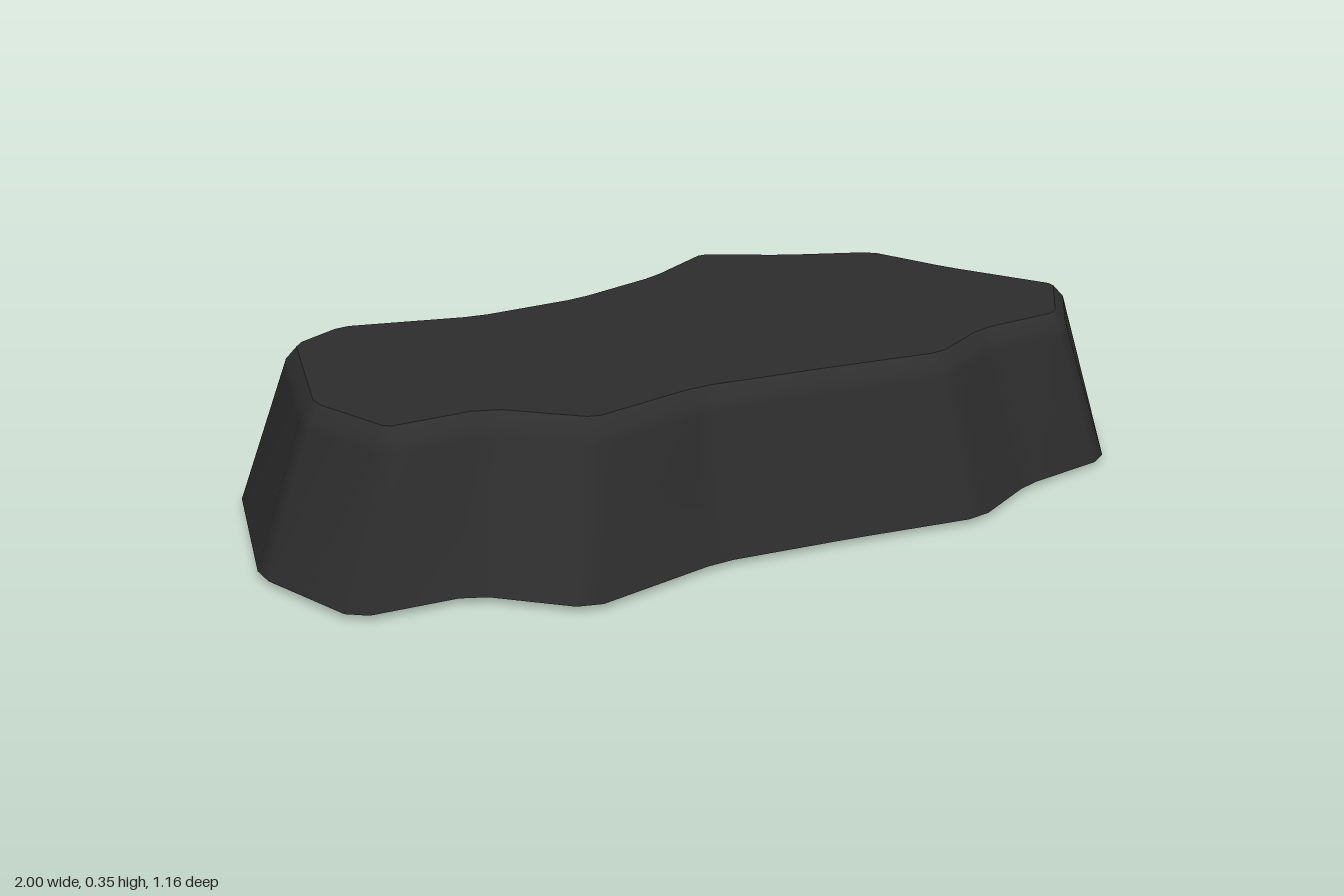
import * as THREE from 'three';

const BASE_Y = 0.012, EDGE_Y = 0.325, TOP_Y = 0.35;

// Outline corners, counterclockwise from above: base x, base z, upper edge x, upper edge z
const CORNERS = [
  [-0.745, -0.41, -0.67, -0.325],
  [-0.91, -0.29, -0.81, -0.24],
  [-1.005, 0.16, -0.895, 0.15],
  [-0.9, 0.43, -0.805, 0.365],
  [-0.66, 0.43, -0.59, 0.35],
  [-0.48, 0.585, -0.42, 0.49],
  [-0.16, 0.495, -0.155, 0.415],
  [0.14, 0.505, 0.14, 0.425],
  [0.44, 0.525, 0.4, 0.44],
  [0.63, 0.41, 0.56, 0.34],
  [0.87, 0.355, 0.78, 0.31],
  [1.02, 0.1, 0.915, 0.105],
  [0.85, -0.145, 0.765, -0.13],
  [0.74, -0.37, 0.67, -0.325],
  [0.51, -0.47, 0.46, -0.4],
  [0.293, -0.595, 0.28, -0.495],
  [0.12, -0.47, 0.09, -0.37],
  [-0.13, -0.365, -0.13, -0.29],
  [-0.4, -0.31, -0.375, -0.265],
];

// Cut every corner into two points so the outline turns softly
function softenedRing(points, cut) {
  const n = points.length;
  return points.flatMap((p, i) => [points[(i + n - 1) % n], points[(i + 1) % n]]
    .map((q) => p.clone().add(q.clone().sub(p).setLength(cut))));
}

// Move a ring inward along its averaged edge normals
function insetRing(ring, amount) {
  const n = ring.length;
  return ring.map((p, i) => {
    const t = ring[(i + 1) % n].clone().sub(ring[(i + n - 1) % n]).normalize();
    return new THREE.Vector2(p.x + t.y * amount, p.y - t.x * amount);
  });
}

// Join rings of equal length into a smooth band
function bandGeometry(rings) {
  const n = rings[0].length, positions = [], index = [];
  rings.forEach((ring) => ring.forEach((p) => positions.push(p.x, p.y, p.z)));
  for (let r = 0; r < rings.length - 1; r++) {
    for (let i = 0; i < n; i++) {
      const a = r * n + i, b = r * n + (i + 1) % n;
      index.push(a, b, b + n, a, b + n, a + n);
    }
  }
  const geometry = new THREE.BufferGeometry();
  geometry.setAttribute('position', new THREE.Float32BufferAttribute(positions, 3));
  geometry.setIndex(index);
  geometry.computeVertexNormals();
  return geometry;
}

export function createModel() {
  const group = new THREE.Group();
  group.name = 'rockSlab';
  const stone = new THREE.MeshStandardMaterial({ color: 0x2e2e2e, side: THREE.DoubleSide });
  stone.name = 'dark stone';

  const base = softenedRing(CORNERS.map((c) => new THREE.Vector2(c[0], c[1])), 0.03);
  const edge = softenedRing(CORNERS.map((c) => new THREE.Vector2(c[2], c[3])), 0.025);
  const rim = insetRing(edge, 0.023);
  const lift = (ring, y) => ring.map((p) => new THREE.Vector3(p.x, y, p.y));

  // Base edge dips slightly to the ground along the middle of the back
  const foot = lift(base, BASE_Y);
  foot.forEach((p) => {
    if (p.z < 0) p.y *= THREE.MathUtils.smoothstep(Math.abs(p.x + 0.01), 0.17, 0.32);
  });

  // Sloping sides with a support ring just under the bevel
  const support = base.map((p, i) => p.clone().lerp(edge[i], 0.93));
  const supportY = THREE.MathUtils.lerp(BASE_Y, EDGE_Y, 0.93);
  const sides = new THREE.Mesh(
    bandGeometry([foot, lift(support, supportY), lift(edge, EDGE_Y), lift(rim, TOP_Y)]), stone);
  sides.name = 'slopingSides';
  group.add(sides);

  // Flat top; the underside is left open
  const shape = new THREE.Shape(rim.map((p) => new THREE.Vector2(p.x, -p.y)));
  const top = new THREE.Mesh(new THREE.ShapeGeometry(shape).rotateX(-Math.PI / 2), stone);
  top.position.y = TOP_Y;
  top.name = 'flatTop';
  group.add(top);

  return group;
}
